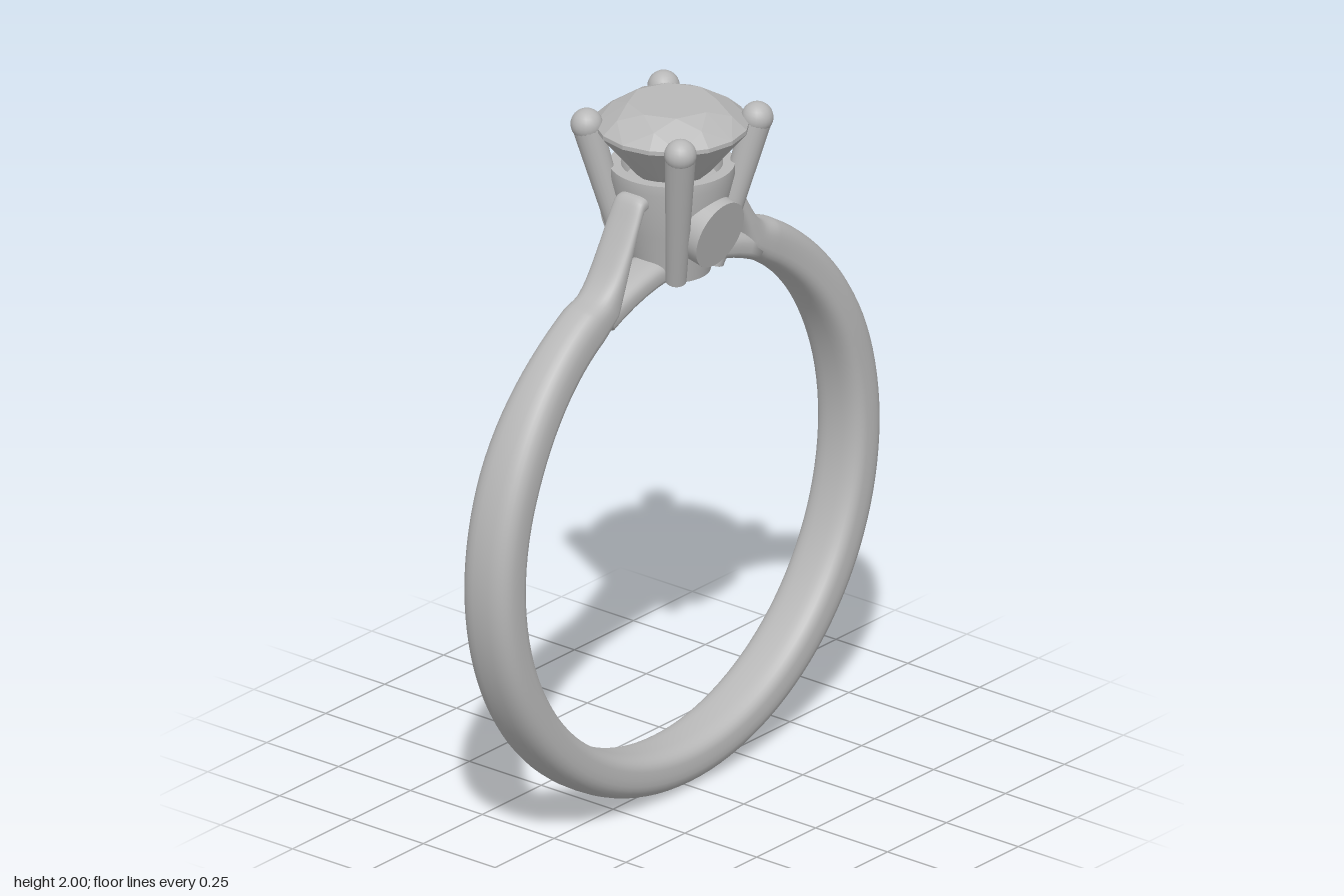
import * as THREE from 'three';
import { toCreasedNormals } from 'three/addons/utils/BufferGeometryUtils.js';
import { ConvexGeometry } from 'three/addons/geometries/ConvexGeometry.js';

const CY = 0.815; // height of the band's centre
const SIDES = 32;

const onCircle = (r, deg) => {
  const a = THREE.MathUtils.degToRad(deg);
  return [r * Math.cos(a), CY + r * Math.sin(a)];
};
const soft = (v, e) => Math.sign(v) * Math.pow(Math.abs(v), e);

// Sweeps a rounded section; each station is [outerX, outerY, innerX, innerY, halfWidth]
function sweep(stations) {
  const close = ([ox, oy, ix, iy]) => [(ox + ix) / 2, (oy + iy) / 2, (ox + ix) / 2, (oy + iy) / 2, 0];
  const rings = [close(stations[0]), ...stations, close(stations[stations.length - 1])];
  const pos = [], idx = [];
  rings.forEach(([ox, oy, ix, iy, w], s) => {
    for (let k = 0; k < SIDES; k++) {
      const t = (k / SIDES) * Math.PI * 2;
      const u = 0.5 + 0.5 * soft(Math.cos(t), Math.cos(t) > 0 ? 0.8 : 0.6);
      pos.push(ix + (ox - ix) * u, iy + (oy - iy) * u, w * soft(Math.sin(t), 0.7));
      if (s < rings.length - 1) {
        const a = s * SIDES + k, b = s * SIDES + ((k + 1) % SIDES);
        idx.push(a, a + SIDES, b, b, a + SIDES, b + SIDES);
      }
    }
  });
  const g = new THREE.BufferGeometry();
  g.setAttribute('position', new THREE.Float32BufferAttribute(pos, 3));
  g.setIndex(idx);
  g.computeVertexNormals();
  return g;
}

// Band with shoulders rising to the setting
function bandGeometry() {
  const half = [];
  for (let d = -90; d <= 60; d += 3) {
    const w = 0.083 - 0.02 * THREE.MathUtils.smoothstep(d, 20, 62);
    half.push([...onCircle(0.815, d), ...onCircle(0.69, d), w]);
  }
  const shoulder = [
    [0.35, 1.54, 0.28, 1.465, 0.061],
    [0.305, 1.58, 0.258, 1.535, 0.059],
    [0.26, 1.648, 0.232, 1.605, 0.056],
    [0.222, 1.715, 0.2, 1.685, 0.053],
    [0.188, 1.775, 0.172, 1.735, 0.05],
    [0.16, 1.785, 0.145, 1.74, 0.046],
  ];
  // Smooth the shoulder by interpolating its stations
  let prev = half[half.length - 1];
  const keys = [half[half.length - 2], prev, ...shoulder];
  const outer = new THREE.SplineCurve(keys.map((k) => new THREE.Vector2(k[0], k[1])));
  const n = keys.length - 1;
  for (let i = 1; i < n; i++) {
    for (let j = 1; j <= 4; j++) {
      const f = j / 4, p = outer.getPoint((i + f) / n);
      const mix = (c) => keys[i][c] + (keys[i + 1][c] - keys[i][c]) * f;
      half.push([p.x, p.y, mix(2), mix(3), mix(4)]);
    }
  }
  const mirrored = half.slice(1).reverse().map(([a, b, c, d, w]) => [-a, b, -c, d, w]);
  return sweep([...mirrored, ...half]);
}

// Thin arch closing the band below the setting
function bridgeGeometry() {
  const st = [];
  for (let d = 64; d <= 116; d += 4) st.push([...onCircle(0.765, d), ...onCircle(0.69, d), 0.058]);
  return sweep(st);
}

// Round brilliant: table, crown, girdle, pavilion
function stoneGeometry() {
  const pts = [new THREE.Vector3(0, 1.71, 0)];
  const ring = (n, r, y, offset = 0) => {
    for (let i = 0; i < n; i++) {
      const a = ((i + offset) / n) * Math.PI * 2;
      pts.push(new THREE.Vector3(r * Math.cos(a), y, r * Math.sin(a)));
    }
  };
  ring(8, 0.12, 2.0);
  ring(8, 0.168, 1.976, 0.5);
  ring(16, 0.21, 1.94);
  ring(16, 0.21, 1.928);
  ring(8, 0.107, 1.805, 0.5);
  return new ConvexGeometry(pts);
}

export function createModel() {
  const model = new THREE.Group();
  model.name = 'ring';
  const metal = new THREE.MeshStandardMaterial({ color: 0xb8b8b8 });
  metal.name = 'grey';
  const add = (name, geometry, parent = model) => {
    const m = new THREE.Mesh(geometry, metal);
    m.name = name;
    parent.add(m);
    return m;
  };

  add('band', bandGeometry());
  add('bridge', bridgeGeometry());
  add('stone', stoneGeometry());

  // Hollow tapered cup under the stone
  const profile = [[0, 1.51], [0.105, 1.51], [0.135, 1.65], [0.17, 1.79], [0.17, 1.82], [0.138, 1.82], [0.125, 1.775], [0, 1.7]];
  const cup = new THREE.LatheGeometry(profile.map(([x, y]) => new THREE.Vector2(x, y)), 48);
  add('cup', toCreasedNormals(cup, 0.5));

  // Four claws with rounded tips
  const up = new THREE.Vector3(0, 1, 0);
  for (const sx of [1, -1]) {
    for (const sz of [1, -1]) {
      const claw = new THREE.Group();
      claw.name = 'claw';
      model.add(claw);
      const foot = new THREE.Vector3(0.08 * sx, 1.52, 0.08 * sz);
      const tip = new THREE.Vector3(0.163 * sx, 1.942, 0.163 * sz);
      const dir = tip.clone().sub(foot);
      const stem = add('clawStem', new THREE.CylinderGeometry(0.042, 0.028, dir.length(), 20), claw);
      stem.position.copy(foot).add(tip).multiplyScalar(0.5);
      stem.quaternion.setFromUnitVectors(up, dir.normalize());
      add('clawTip', new THREE.SphereGeometry(0.044, 20, 14), claw).position.copy(tip);
    }
  }

  // Tilted round discs on the front and back of the cup
  for (const side of [0, 1]) {
    const holder = new THREE.Group();
    holder.name = side ? 'backDisc' : 'frontDisc';
    holder.rotation.y = side * Math.PI;
    model.add(holder);
    const disc = add('disc', new THREE.CylinderGeometry(0.098, 0.098, 0.05, 40), holder);
    disc.position.set(0, 1.657, 0.143);
    disc.rotation.x = Math.PI / 2 + 0.22;
  }
  return model;
}
